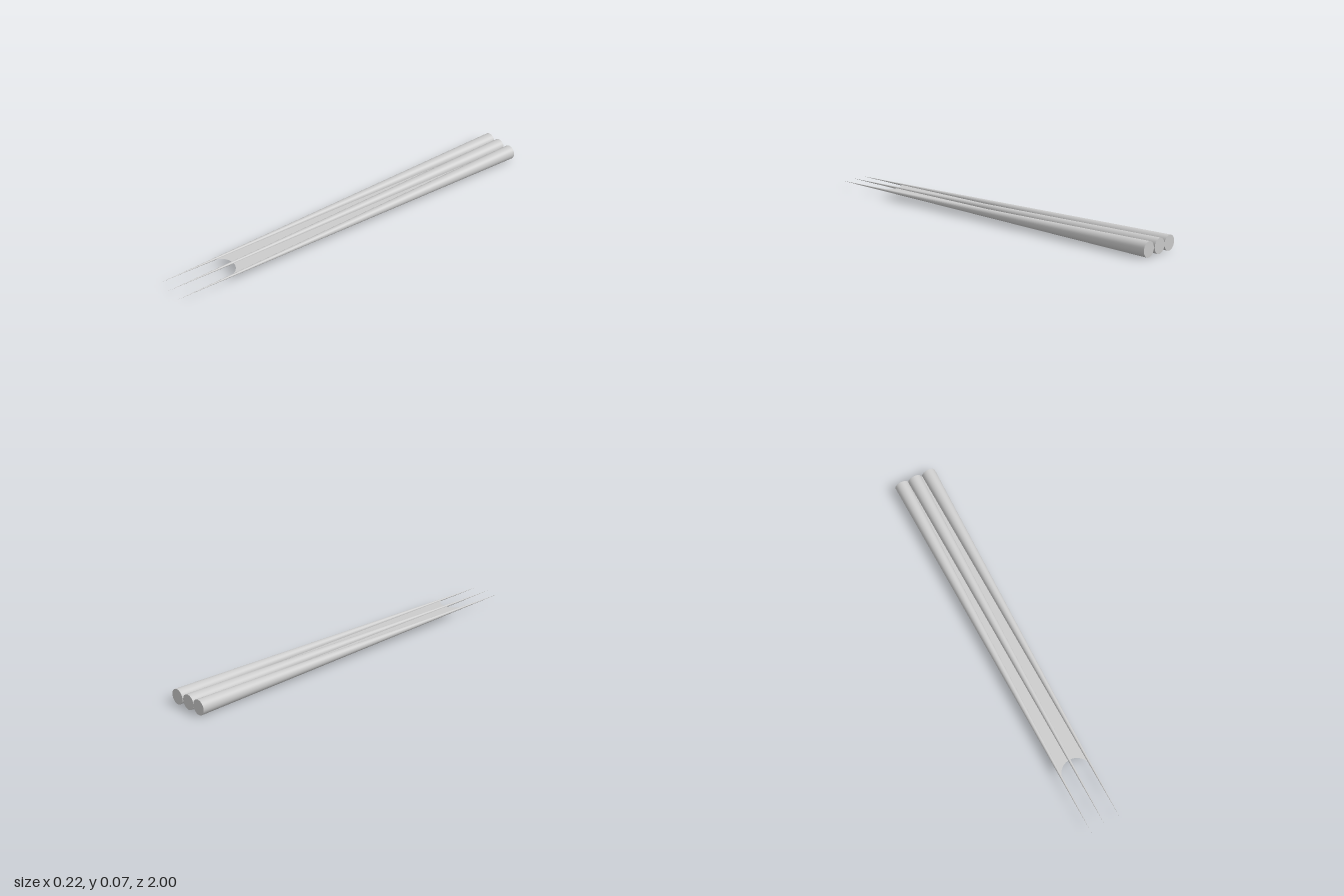
import * as THREE from 'three';

const RADIUS = 0.036;  // spine radius at the back, also the height of the axes
const SPREAD = 0.075;  // distance of the outer spines from the middle

export function createModel() {
  const group = new THREE.Group();
  const material = new THREE.MeshStandardMaterial({ color: 0xcccccc });

  // Three long tapering spines, pointing forward, with closed flat back ends
  const spineGeometry = new THREE.ConeGeometry(RADIUS, 2, 32).rotateX(Math.PI / 2);
  const spines = { rightSpine: -SPREAD, middleSpine: -0.003, leftSpine: SPREAD };
  for (const [name, x] of Object.entries(spines)) {
    const spine = new THREE.Mesh(spineGeometry, material);
    spine.name = name;
    spine.position.set(x, RADIUS, 0);
    group.add(spine);
  }

  // Thin web joining the spines, with a round notch cut in its front edge
  const outline = new THREE.Shape();
  outline.moveTo(-SPREAD, -1);
  outline.lineTo(SPREAD, -1);
  outline.lineTo(SPREAD, 0.725);
  outline.absarc(0, 0.725, SPREAD, 0, -Math.PI, true);
  outline.closePath();
  const webMaterial = material.clone();
  webMaterial.side = THREE.DoubleSide;
  // Mirror the winding so the front side of the sheet faces up
  const webGeometry = new THREE.ShapeGeometry(outline, 10).rotateX(Math.PI / 2).rotateZ(Math.PI);
  const web = new THREE.Mesh(webGeometry, webMaterial);
  web.name = 'web';
  web.position.y = RADIUS;
  group.add(web);

  return group;
}
